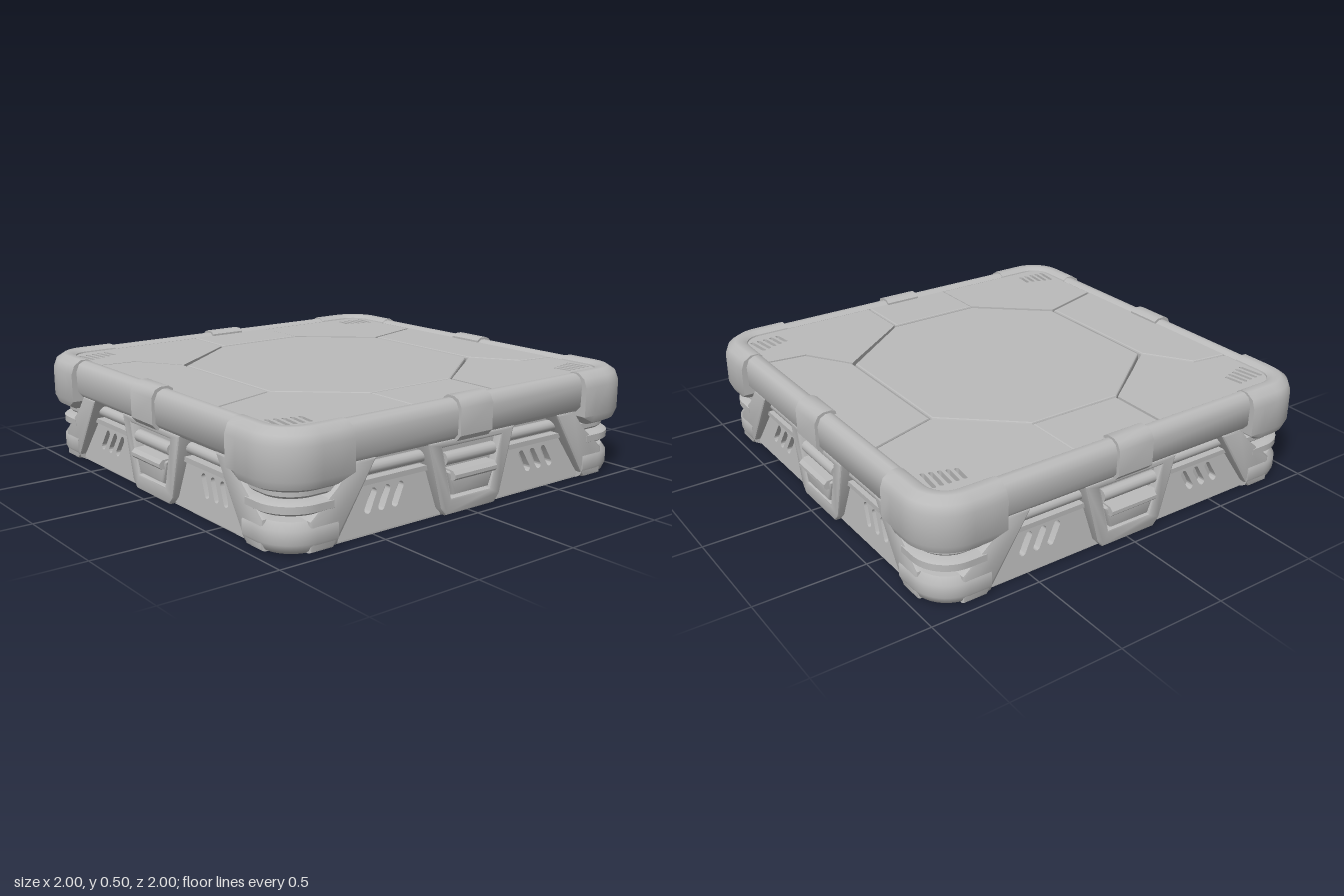
import * as THREE from 'three';
import { toCreasedNormals } from 'three/addons/utils/BufferGeometryUtils.js';

const grey = new THREE.MeshStandardMaterial({ color: 0xbababa });
grey.name = 'plain grey';

const C = 0.8; // centre of every rounded corner

function add(group, name, geometry) {
  const mesh = new THREE.Mesh(geometry, grey);
  mesh.name = name;
  group.add(mesh);
  return mesh;
}

// Sweep a convex section [distance from centre, height] along path points
// [x, z, normalX, normalZ, lowest height].
function sweep(section, path) {
  const rings = path.map(([x, z, nx, nz, low = 0]) => section.map(([d, y]) =>
    [x + nx * (d - C), Math.max(y, low), z + nz * (d - C)]));
  const pos = [], n = section.length, last = rings[rings.length - 1];
  const tri = (...pts) => pts.forEach((p) => pos.push(...p));
  for (let i = 0; i + 1 < rings.length; i++) {
    for (let j = 0; j < n; j++) {
      const k = (j + 1) % n, a = rings[i], b = rings[i + 1];
      tri(a[j], b[j], b[k]);
      tri(a[j], b[k], a[k]);
    }
  }
  for (let j = 1; j + 1 < n; j++) {
    tri(rings[0][0], rings[0][j], rings[0][j + 1]);
    tri(last[0], last[j + 1], last[j]);
  }
  const g = new THREE.BufferGeometry();
  g.setAttribute('position', new THREE.Float32BufferAttribute(pos, 3));
  return toCreasedNormals(g, 0.7);
}

const straight = (a, b) => [[a, C, 0, 1], [b, C, 0, 1]];

// Path round the front left corner; ends may rise to a given height.
function corner(start, endLow = 0) {
  const path = [[start, C, 0, 1, endLow], [start + 0.07, C, 0, 1]];
  for (let i = 0; i <= 12; i++) {
    const a = (i / 12) * Math.PI / 2;
    path.push([C, C, Math.sin(a), Math.cos(a)]);
  }
  path.push([C, start + 0.07, 1, 0], [C, start, 1, 0, endLow]);
  return path;
}

const shapeOf = (pts) => new THREE.Shape(pts.map(([x, y]) => new THREE.Vector2(x, y)));

function slot(x, y, half, r, angle) {
  const p = new THREE.Path(), dx = Math.cos(angle) * half, dy = Math.sin(angle) * half;
  p.absarc(x + dx, y + dy, r, angle - Math.PI / 2, angle + Math.PI / 2);
  p.absarc(x - dx, y - dy, r, angle + Math.PI / 2, angle + Math.PI * 1.5);
  p.closePath();
  return p;
}

// Plate on the front face, from z0 to z1, with an optional bevel and backward lean
function facePlate(shape, z0, z1, bevel = 0, lean = 0) {
  const g = new THREE.ExtrudeGeometry(shape, {
    depth: z1 - z0 - bevel, bevelEnabled: bevel > 0, bevelSize: bevel,
    bevelThickness: bevel, bevelOffset: -bevel, bevelSegments: 2, curveSegments: 6,
  });
  g.translate(0, 0, z0);
  const p = g.attributes.position;
  for (let i = 0; i < p.count; i++) p.setZ(i, p.getZ(i) + (0.1 - p.getY(i)) * lean);
  g.computeVertexNormals();
  return toCreasedNormals(g, 0.6);
}

// Horizontal panel whose top is at the given height
function deckPanel(shape, top, bevel) {
  const g = new THREE.ExtrudeGeometry(shape, {
    depth: 0.03, bevelEnabled: bevel > 0, bevelSize: bevel, bevelThickness: bevel,
    bevelOffset: -bevel - 0.005, bevelSegments: 2, curveSegments: 6,
  });
  return g.rotateX(Math.PI / 2).translate(0, top - bevel, 0);
}

function roundedBlock(half, y0, y1) {
  const s = new THREE.Shape(), r = half - C;
  [[1, 1], [-1, 1], [-1, -1], [1, -1]].forEach(([x, y], i) =>
    s.absarc(x * C, y * C, r, i * Math.PI / 2, (i + 1) * Math.PI / 2));
  s.closePath();
  const g = new THREE.ExtrudeGeometry(s, { depth: y1 - y0, bevelEnabled: false, curveSegments: 8 });
  return g.rotateX(Math.PI / 2).translate(0, y1, 0);
}

// One side of the case with the corner at its left end
function buildSide() {
  const side = new THREE.Group();

  // Rim, middle clamp and corner guard
  add(side, 'rim', sweep([[0.87, 0.32], [0.95, 0.32], [0.972, 0.345], [0.975, 0.44], [0.96, 0.475],
    [0.935, 0.488], [0.912, 0.488], [0.893, 0.475], [0.89, 0.44]], straight(-0.7, 0.7)));
  add(side, 'rimClamp', sweep([[0.88, 0.315], [0.965, 0.315], [0.988, 0.34], [0.988, 0.455],
    [0.97, 0.487], [0.945, 0.498], [0.905, 0.498], [0.885, 0.485]], straight(-0.1, 0.08)));
  add(side, 'cornerGuard', sweep([[0.87, 0.25], [0.955, 0.25], [0.985, 0.265], [1, 0.3], [1, 0.43],
    [0.985, 0.47], [0.95, 0.493], [0.915, 0.493], [0.893, 0.48], [0.88, 0.44]], corner(0.65, 0.3)));

  // Corner foot and the bands above it
  add(side, 'cornerFoot', sweep([[0.85, 0], [0.925, 0], [0.95, 0.015], [0.962, 0.045], [0.962, 0.1],
    [0.94, 0.13], [0.85, 0.135]], corner(0.7)));
  add(side, 'cornerBand', sweep([[0.85, 0.155], [0.945, 0.155], [0.96, 0.165], [0.96, 0.195],
    [0.945, 0.205], [0.85, 0.205]], corner(0.72)));
  add(side, 'cornerBandUpper', sweep([[0.85, 0.215], [0.925, 0.215], [0.935, 0.225], [0.935, 0.25],
    [0.85, 0.26]], corner(0.68)));

  // Mirrored struts, slotted panels and pipes
  for (const s of [1, -1]) {
    const mirrored = (pts) => shapeOf(pts.map(([x, y]) => [x * s, y]));
    add(side, 'strut', facePlate(mirrored([[0.51, 0.325], [0.63, 0.325], [0.7, 0.24], [0.83, 0.13],
      [0.83, 0.005], [0.72, 0.005], [0.69, 0.04]]), 0.86, 0.958, 0.012));
    const panel = mirrored([[0.14, 0.01], [0.72, 0.01], [0.6, 0.2], [0.2, 0.2]]);
    for (let i = 0; i < 3; i++) {
      panel.holes.push(slot(s * (0.365 + i * 0.07), 0.135, 0.037, 0.016, Math.PI / 2 + s * 0.5));
    }
    add(side, 'slottedPanel', facePlate(panel, 0.87, 0.918, 0, 0.12));
    const ledge = add(side, 'ledge', new THREE.BoxGeometry(0.4, 0.022, 0.06));
    ledge.position.set(s * 0.4, 0.215, 0.89);
    const pipe = add(side, 'pipe', new THREE.CylinderGeometry(0.026, 0.026, 0.4, 14));
    pipe.rotation.z = Math.PI / 2;
    pipe.position.set(s * 0.37, 0.262, 0.892);
  }

  // Latch bracket with a recessed opening and a handle
  const bracket = shapeOf([[-0.14, 0.005], [0.14, 0.005], [0.17, 0.04], [0.245, 0.325],
    [-0.245, 0.325], [-0.17, 0.04]]);
  bracket.holes.push(new THREE.Path(shapeOf([[-0.11, 0.075], [-0.165, 0.295], [0.165, 0.295],
    [0.11, 0.075]]).getPoints()));
  add(side, 'latchBracket', facePlate(bracket, 0.86, 0.958, 0.01));
  add(side, 'latchBack', facePlate(shapeOf([[-0.13, 0.06], [0.13, 0.06], [0.19, 0.31],
    [-0.19, 0.31]]), 0.87, 0.92));
  add(side, 'latchHandle', facePlate(shapeOf([[-0.1, 0.085], [0.1, 0.085], [0.14, 0.19],
    [-0.14, 0.19]]), 0.9, 0.96, 0.012));
  add(side, 'latchLip', sweep([[0.9, 0.155], [0.975, 0.155], [0.985, 0.165], [0.985, 0.18],
    [0.97, 0.195], [0.9, 0.2]], straight(-0.12, 0.12)));
  const hinge = add(side, 'latchHinge', new THREE.CylinderGeometry(0.028, 0.028, 0.28, 14));
  hinge.rotation.z = Math.PI / 2;
  hinge.position.set(0, 0.24, 0.93);
  return side;
}

export function createModel() {
  const model = new THREE.Group();
  model.name = 'platform';
  add(model, 'core', roundedBlock(0.88, 0.01, 0.44));
  add(model, 'baseSlab', roundedBlock(0.922, 0, 0.025));

  for (let i = 0; i < 4; i++) {
    const side = buildSide();
    side.name = 'side';
    side.rotation.y = i * Math.PI / 2;
    model.add(side);
  }

  // Central octagon
  add(model, 'centrePanel', deckPanel(shapeOf([[-0.58, -0.33], [-0.2, -0.62], [0.26, -0.62],
    [0.58, -0.34], [0.58, 0.33], [0.2, 0.62], [-0.26, 0.62], [-0.58, 0.34]]), 0.474, 0.008));

  // Outer deck panels, repeated by a half turn
  for (let i = 0; i < 2; i++) {
    const half = new THREE.Group();
    half.name = 'deckHalf';
    half.rotation.y = i * Math.PI;
    add(half, 'endPanel', deckPanel(shapeOf([[-0.27, 0.62], [0.19, 0.62], [0.19, 0.91],
      [-0.27, 0.91]]), 0.476, 0.008));
    add(half, 'sidePanel', deckPanel(shapeOf([[0.58, -0.34], [0.91, -0.44], [0.91, 0.575],
      [0.72, 0.55], [0.58, 0.34]]), 0.476, 0.008));
    const near = shapeOf([[0.195, 0.9], [0.195, 0.627], [0.58, 0.345], [0.715, 0.555],
      [0.9, 0.58], [0.9, 0.9]]);
    const far = shapeOf([[0.265, -0.9], [0.9, -0.9], [0.9, -0.445], [0.585, -0.348],
      [0.265, -0.627]]);
    for (let k = 0; k < 5; k++) {
      const x = 0.728 + k * 0.033, z = 0.795 - k * 0.006, len = 0.036 + k * 0.004;
      near.holes.push(slot(x, z, len, 0.009, Math.PI / 2 - 0.12));
      far.holes.push(slot(x, -z, len, 0.009, Math.PI / 2 + 0.12));
    }
    add(half, 'cornerPanel', deckPanel(near, 0.474, 0));
    add(half, 'cornerPanel', deckPanel(far, 0.474, 0));
    model.add(half);
  }
  return model;
}
